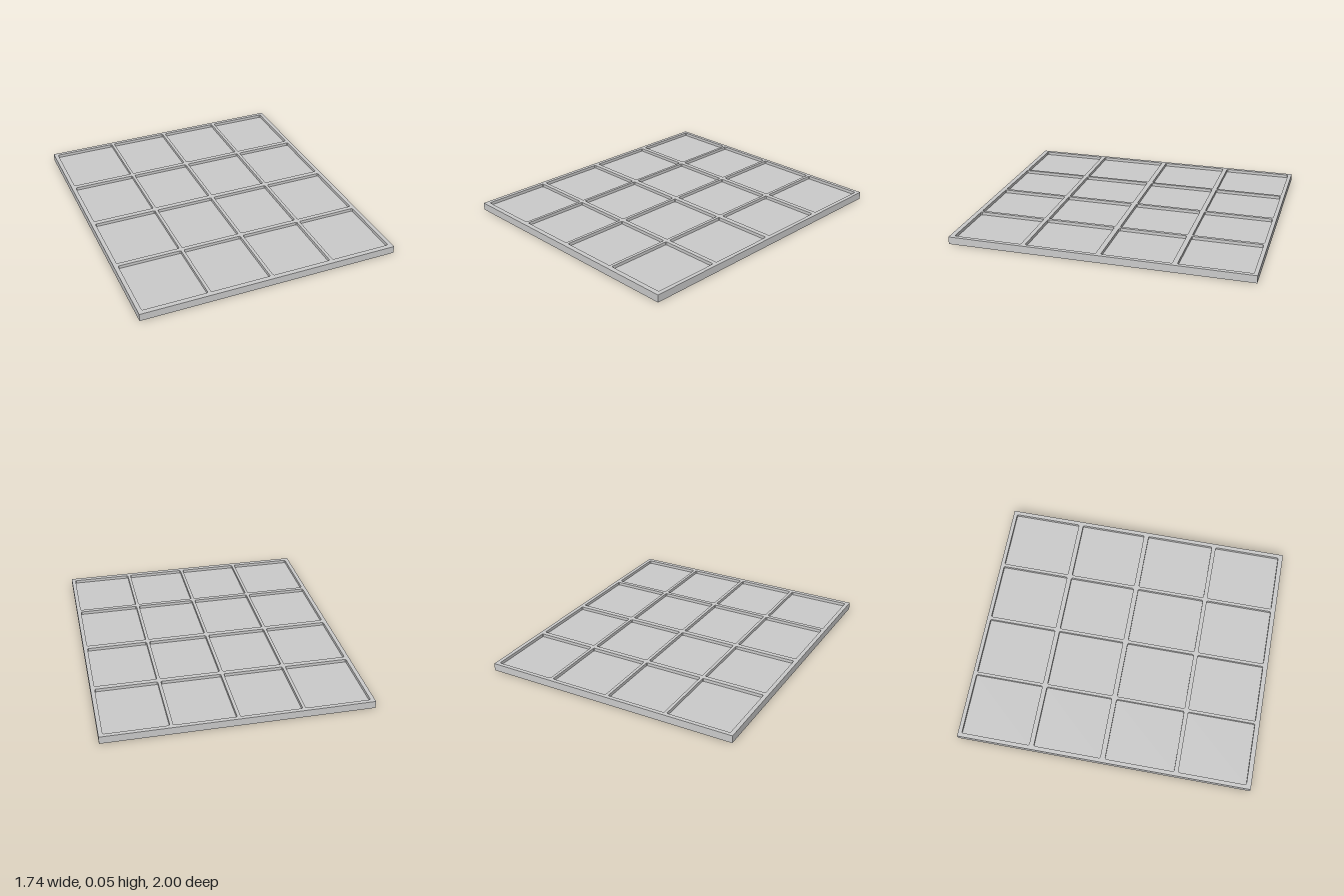
import * as THREE from 'three';

// Openings between the bars, [from, to] along x and z
const COLUMNS = [[-0.843, -0.42], [-0.4, -0.003], [0.018, 0.415], [0.436, 0.843]];
const ROWS = [[-0.974, -0.508], [-0.476, -0.021], [0.013, 0.481], [0.51, 0.968]];
const HALF_WIDTH = 0.87, HALF_LENGTH = 1, THICKNESS = 0.05;
const PANE = 0.008;

// Rectangle with small bevelled corners
function trimmedRect(path, x0, y0, x1, y1, c) {
  path.moveTo(x0 + c, y0);
  path.lineTo(x1 - c, y0);
  path.lineTo(x1, y0 + c);
  path.lineTo(x1, y1 - c);
  path.lineTo(x1 - c, y1);
  path.lineTo(x0 + c, y1);
  path.lineTo(x0, y1 - c);
  path.lineTo(x0, y0 + c);
  path.closePath();
  return path;
}

export function createModel() {
  const group = new THREE.Group();
  group.name = 'windowPanel';
  const material = new THREE.MeshStandardMaterial({ color: 0xcccccc, flatShading: true });

  // Frame and crossing bars, cut from one slab
  const outline = new THREE.Shape([
    new THREE.Vector2(-HALF_WIDTH, -HALF_LENGTH), new THREE.Vector2(HALF_WIDTH, -HALF_LENGTH),
    new THREE.Vector2(HALF_WIDTH, HALF_LENGTH), new THREE.Vector2(-HALF_WIDTH, HALF_LENGTH),
  ]);
  for (const [x0, x1] of COLUMNS) {
    for (const [z0, z1] of ROWS) {
      outline.holes.push(trimmedRect(new THREE.Path(), x0, -z1, x1, -z0, 0.006));
    }
  }
  const frameGeometry = new THREE.ExtrudeGeometry(outline, { depth: THICKNESS, bevelEnabled: false });
  frameGeometry.rotateX(-Math.PI / 2);
  const frame = new THREE.Mesh(frameGeometry, material);
  frame.name = 'frame';
  group.add(frame);

  // Thin panes set midway through the frame
  const panes = new THREE.Group();
  panes.name = 'panes';
  for (const [x0, x1] of COLUMNS) {
    for (const [z0, z1] of ROWS) {
      const pane = new THREE.Mesh(new THREE.BoxGeometry(x1 - x0, PANE, z1 - z0), material);
      pane.position.set((x0 + x1) / 2, THICKNESS / 2, (z0 + z1) / 2);
      pane.name = 'pane';
      panes.add(pane);
    }
  }
  group.add(panes);
  return group;
}
